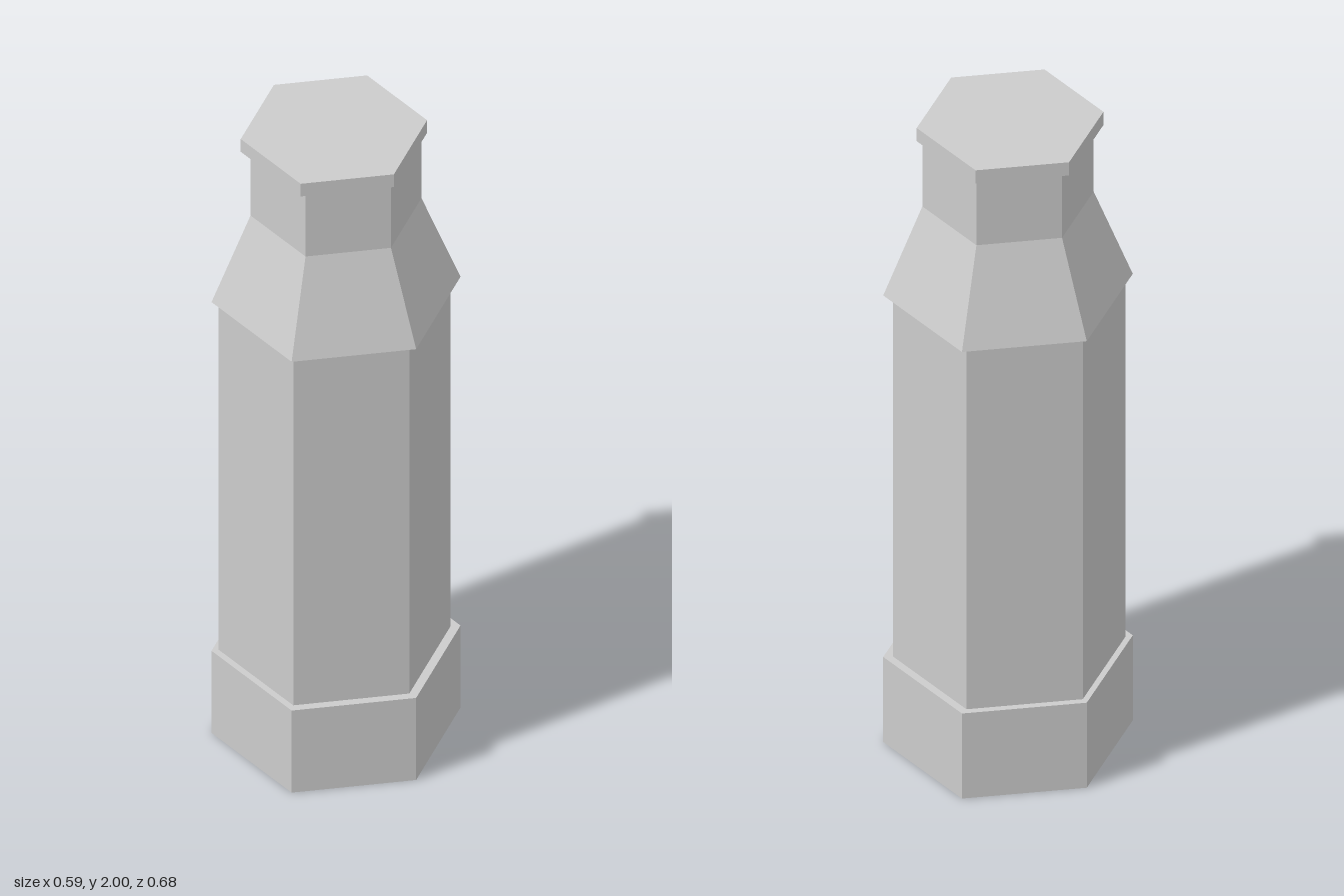
import * as THREE from 'three';

// Closed hexagonal solid from [radius, height] pairs, bottom to top, corners on +z and -z
function hexSolid(name, rings, x = 0) {
  const points = [
    [0, rings[0][1]],
    ...rings,
    [0, rings[rings.length - 1][1]],
  ].map(([r, y]) => new THREE.Vector2(r, y));
  const material = new THREE.MeshStandardMaterial({ color: 0xcccccc, flatShading: true });
  const mesh = new THREE.Mesh(new THREE.LatheGeometry(points, 6), material);
  mesh.name = name;
  mesh.position.x = x;
  return mesh;
}

export function createModel() {
  const group = new THREE.Group();
  group.name = 'hexagonalBottle';
  group.add(
    // Wide foot
    hexSolid('base', [[0.338, 0], [0.338, 0.278]]),
    // Long straight body
    hexSolid('body', [[0.315, 0.278], [0.315, 1.452]], -0.004),
    // Flared shoulder narrowing into the neck, a hairline above the body
    hexSolid('shoulderAndNeck', [[0.338, 1.46], [0.232, 1.74], [0.232, 1.957]]),
    // Thin overhanging lid
    hexSolid('cap', [[0.253, 1.957], [0.253, 2]], -0.006),
  );
  return group;
}
